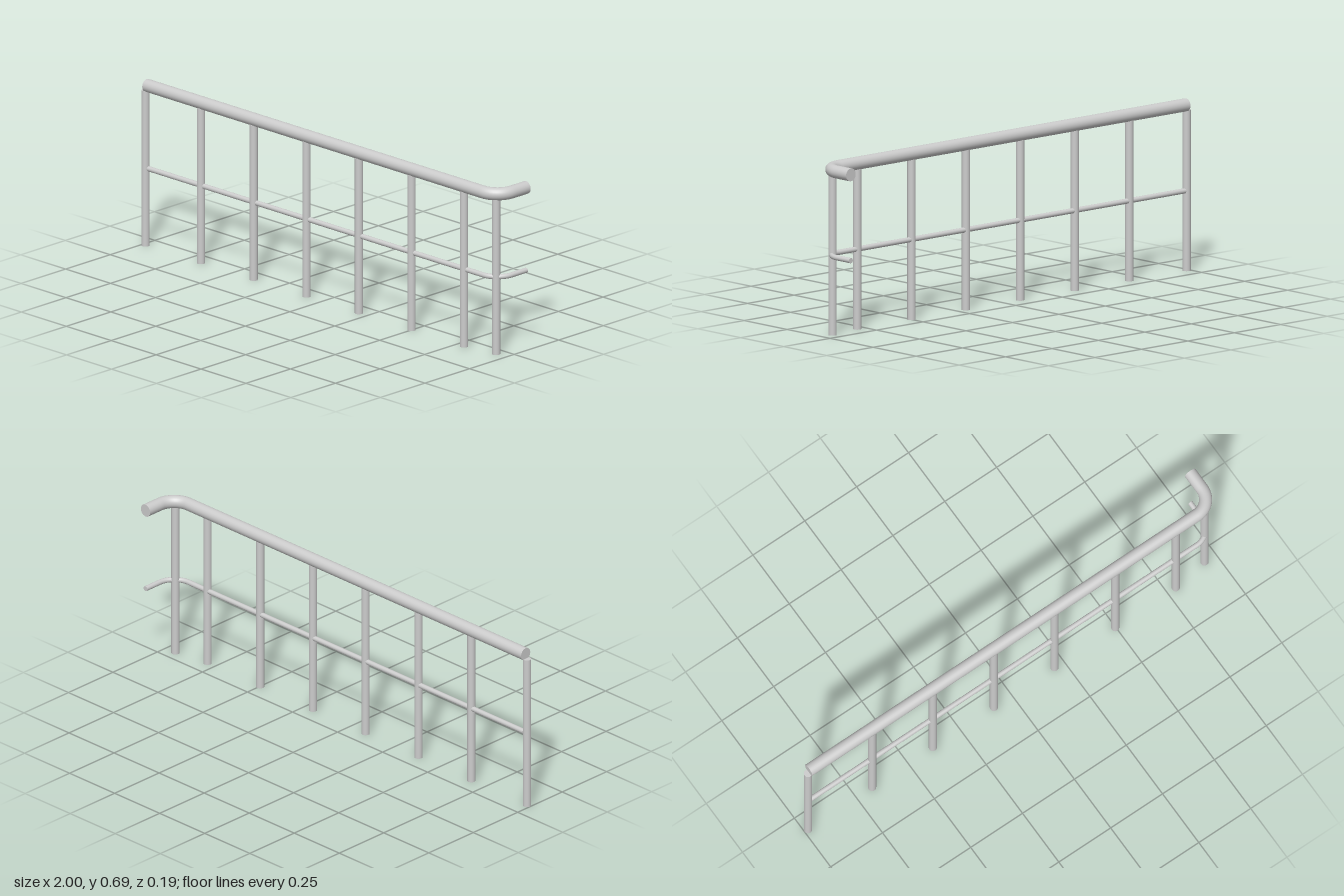
import * as THREE from 'three';

const material = new THREE.MeshStandardMaterial({ color: 0xcccccc });
const RAIL_Z = 0.067, END_X = 0.974, END_Z = -0.093, BEND = 0.08;

// Straight run along x, a quarter bend, then a short return towards -z
function railPath(startX, y) {
  const v = (x, z) => new THREE.Vector3(x, y, z);
  const k = BEND * (1 - 0.5523);
  const bx = END_X - BEND, bz = RAIL_Z - BEND;
  const path = new THREE.CurvePath();
  path.add(new THREE.LineCurve3(v(startX, RAIL_Z), v(bx, RAIL_Z)));
  path.add(new THREE.CubicBezierCurve3(v(bx, RAIL_Z), v(END_X - k, RAIL_Z), v(END_X, RAIL_Z - k), v(END_X, bz)));
  path.add(new THREE.LineCurve3(v(END_X, bz), v(END_X, END_Z)));
  return path;
}

// Bent tube with flat discs closing both ends
function makeRail(name, startX, y, radius) {
  const group = new THREE.Group();
  group.name = name;
  const tube = new THREE.Mesh(new THREE.TubeGeometry(railPath(startX, y), 200, radius, 24), material);
  tube.name = name + 'Tube';
  const disc = new THREE.CircleGeometry(radius, 24);
  const startCap = new THREE.Mesh(disc, material);
  startCap.name = name + 'StartCap';
  startCap.position.set(startX, y, RAIL_Z);
  startCap.rotation.y = -Math.PI / 2;
  const endCap = new THREE.Mesh(disc, material);
  endCap.name = name + 'EndCap';
  endCap.position.set(END_X, y, END_Z);
  endCap.rotation.y = Math.PI;
  group.add(tube, startCap, endCap);
  return group;
}

export function createModel() {
  const model = new THREE.Group();
  model.name = 'railing';

  model.add(makeRail('handrail', -0.978, 0.668, 0.026));
  model.add(makeRail('middleRail', -0.97, 0.3225, 0.0105));

  // Posts along the straight run, plus one under the bend
  const height = 0.648;
  const postGeometry = new THREE.CylinderGeometry(0.0165, 0.0165, height, 24);
  const posts = [-0.983, -0.674, -0.381, -0.087, 0.205, 0.498, 0.79].map((x) => [x, 0.0695]);
  posts.push([0.945, 0.0455]);
  posts.forEach(([x, z], i) => {
    const post = new THREE.Mesh(postGeometry, material);
    post.name = 'post' + (i + 1);
    post.position.set(x, height / 2, z);
    model.add(post);
  });

  return model;
}
